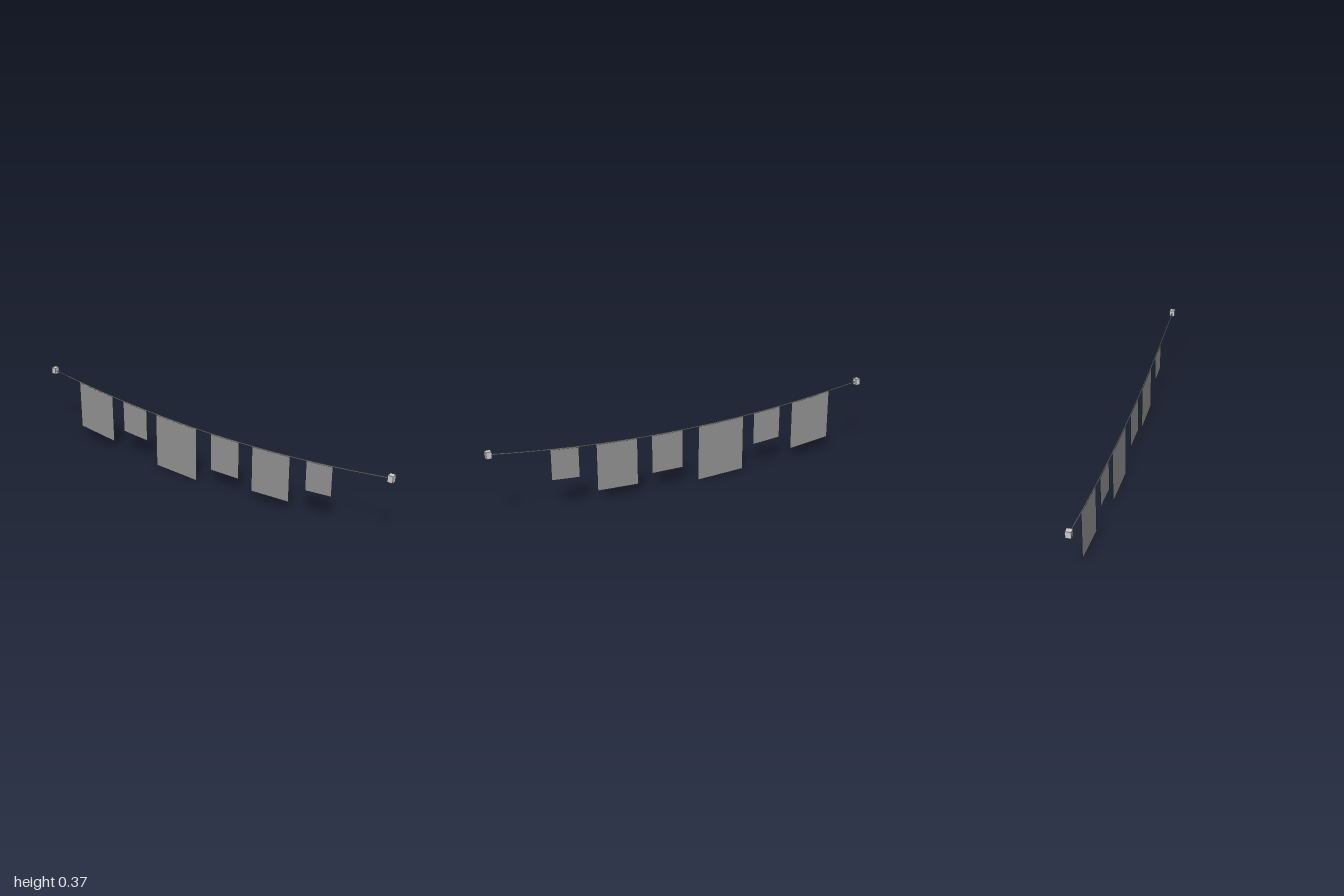
import * as THREE from 'three';

const SPAN = 0.987, LOW = 0.282, SAG = 0.071;
const ropeY = (x) => LOW + SAG * (x / SPAN) ** 2;

// left edge, right edge, drop of each hanging cloth
const CLOTHS = [
  [-0.817, -0.59, 0.251],
  [-0.522, -0.367, 0.167],
  [-0.309, -0.056, 0.282],
  [0.028, 0.195, 0.195],
  [0.268, 0.478, 0.236],
  [0.563, 0.702, 0.153],
];

export function createModel() {
  const group = new THREE.Group();
  const material = new THREE.MeshStandardMaterial({ color: 0xcccccc });
  const clothMaterial = new THREE.MeshStandardMaterial({ color: 0x919191, side: THREE.DoubleSide });

  const add = (geometry, name, mat = material) => {
    const mesh = new THREE.Mesh(geometry, mat);
    mesh.name = name;
    group.add(mesh);
    return mesh;
  };

  // Sagging rope: a parabola from anchor to anchor
  const curve = new THREE.QuadraticBezierCurve3(
    new THREE.Vector3(-SPAN, LOW + SAG, 0),
    new THREE.Vector3(0, LOW - SAG, 0),
    new THREE.Vector3(SPAN, LOW + SAG, 0)
  );
  add(new THREE.TubeGeometry(curve, 24, 0.0028, 6), 'rope');

  // Anchor blocks at both ends
  for (const side of [-1, 1]) {
    const anchor = add(new THREE.BoxGeometry(0.026, 0.033, 0.027), side > 0 ? 'leftAnchor' : 'rightAnchor');
    anchor.position.set(side * SPAN, LOW + SAG, 0);
  }

  // Flat dark cloths, sheared so their top corners meet the rope
  CLOTHS.forEach(([x0, x1, drop], i) => {
    const geometry = new THREE.PlaneGeometry(x1 - x0, drop);
    geometry.translate((x0 + x1) / 2, -drop / 2, 0);
    const p = geometry.attributes.position;
    for (let v = 0; v < p.count; v++) p.setY(v, p.getY(v) + ropeY(p.getX(v)));
    add(geometry, `cloth${i + 1}`, clothMaterial);
  });

  return group;
}
